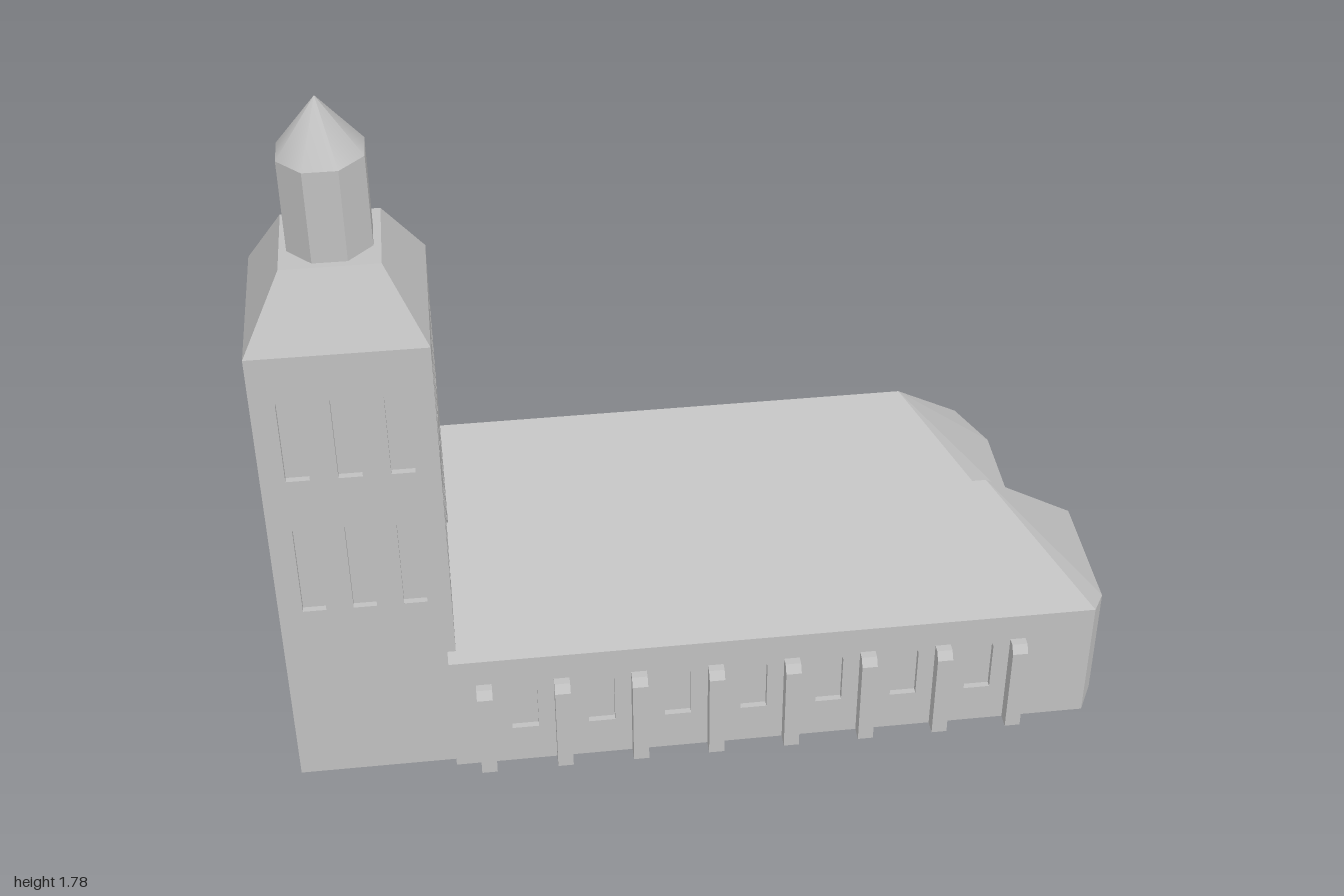
import * as THREE from 'three';

const stone = new THREE.MeshStandardMaterial({ color: 0xc0c0c0 });
stone.name = 'stone';
const RECESS = 0.015;

function add(parent, geometry, name, x = 0, y = 0, z = 0) {
  const mesh = new THREE.Mesh(geometry, stone);
  mesh.name = name;
  mesh.position.set(x, y, z);
  parent.add(mesh);
  return mesh;
}

function faceted(geometry) {
  const g = geometry.index ? geometry.toNonIndexed() : geometry;
  g.computeVertexNormals();
  return g;
}

// Flat faces from corner loops, counter-clockwise seen from outside
function surface(loops) {
  const pos = [];
  for (const p of loops)
    for (let i = 1; i < p.length - 1; i++) pos.push(...p[0], ...p[i], ...p[i + 1]);
  const g = new THREE.BufferGeometry();
  g.setAttribute('position', new THREE.Float32BufferAttribute(pos, 3));
  return faceted(g);
}

const outline = pts => pts.map(([x, y]) => new THREE.Vector2(x, y));

// Pointed opening: u = centre along the wall, y0..y1 = sill to point
function archPoints({ u, w, y0, y1, rise }) {
  const h = w / 2, s = y1 - rise;
  return outline([[u - h, y0], [u + h, y0], [u + h, s], [u + h * 0.55, s + rise * 0.55],
    [u, y1], [u - h * 0.55, s + rise * 0.55], [u - h, s]]);
}

// Wall from a to b ([x, z], left to right seen from outside); top = [u, y] from right to left
function wall(parent, name, a, b, top, windows = []) {
  const dx = b[0] - a[0], dz = b[1] - a[1], len = Math.hypot(dx, dz);
  const crest = typeof top === 'number' ? [[len, top], [0, top]] : top(len);
  const shape = new THREE.Shape(outline([[0, 0], [len, 0], ...crest]));
  const group = new THREE.Group();
  group.name = name;
  group.position.set(a[0], 0, a[1]);
  group.rotation.y = Math.atan2(-dz, dx);
  for (const w of windows) {
    const pts = archPoints(w);
    shape.holes.push(new THREE.Path(pts));
    add(group, new THREE.ShapeGeometry(new THREE.Shape(pts)), 'windowPane', 0, 0, -RECESS);
  }
  add(group, new THREE.ExtrudeGeometry(shape, { depth: RECESS, bevelEnabled: false }),
    'wallPanel', 0, 0, -RECESS);
  parent.add(group);
}

function buildTower() {
  const tower = new THREE.Group();
  tower.name = 'tower';
  const windows = [];
  for (const u of [0.083, 0.2, 0.317])
    for (const [y0, y1] of [[0.53, 0.84], [0.92, 1.2]])
      windows.push({ u, w: 0.054, y0, y1, rise: 0.065 });
  const door = { u: 0.2, w: 0.085, y0: 0.02, y1: 0.215, rise: 0.075 };
  const c = [[-1, 0.43], [-0.6, 0.43], [-0.6, 0.03], [-1, 0.03]];
  ['Front', 'Left', 'Back', 'Right'].forEach((side, i) =>
    wall(tower, 'tower' + side + 'Wall', c[i], c[(i + 1) % 4], 1.26,
      i === 3 ? [...windows, door] : windows));

  // Sloping roof, octagonal lantern and its cap
  const R2 = Math.SQRT2;
  const slope = new THREE.CylinderGeometry(0.11 * R2, 0.2 * R2, 0.165, 4).rotateY(Math.PI / 4);
  add(tower, faceted(slope), 'towerRoof', -0.8, 1.3425, 0.23);
  const r = 0.093 / Math.cos(Math.PI / 8);
  const lantern = new THREE.CylinderGeometry(r, r, 0.225, 8).rotateY(Math.PI / 8);
  add(tower, faceted(lantern), 'lantern', -0.8, 1.5375, 0.23);
  const cap = new THREE.ConeGeometry(r, 0.13, 8).rotateY(Math.PI / 8);
  add(tower, cap, 'lanternCap', -0.8, 1.715, 0.23);
  return tower;
}

function buildFrontNave() {
  const nave = new THREE.Group();
  nave.name = 'frontNave';
  const west = -0.62;
  const windows = [];
  for (let i = 0; i < 7; i++)
    windows.push({ u: -0.445 + i * 0.1875 - west, w: 0.065, y0: 0.11, y1: 0.305, rise: 0.058 });
  wall(nave, 'frontWall', [west, 0.45], [0.96, 0.45], 0.34, windows);
  wall(nave, 'cornerWall', [0.96, 0.45], [1, 0.375], l => [[l, 0.315], [0, 0.34]]);
  wall(nave, 'endWall', [1, 0.375], [1, 0.05], 0.315,
    [{ u: 0.138, w: 0.085, y0: 0.02, y1: 0.215, rise: 0.075 }]);
  wall(nave, 'backWall', [1, 0.05], [0.775, 0.05], l => [[l, 0.385], [0, 0.315]]);
  wall(nave, 'gable', [west, 0.05], [west, 0.45], l => [[l, 0.34], [0.185, 0.6], [0, 0.385]]);

  const rw = [west, 0.6, 0.235], re = [0.715, 0.6, 0.235];
  const corner = [0.775, 0.385, 0.05];
  add(nave, surface([
    [rw, [west, 0.34, 0.45], [0.96, 0.34, 0.45], re],
    [re, corner, [west, 0.385, 0.05], rw],
    [re, [0.96, 0.34, 0.45], [1, 0.315, 0.375], [1, 0.315, 0.05], corner],
  ]), 'frontNaveRoof');

  // Buttresses with a sloped outer top edge
  const profile = new THREE.Shape(outline([[0.44, 0], [0.485, 0], [0.485, 0.245], [0.47, 0.265], [0.44, 0.265]]));
  const buttress = new THREE.ExtrudeGeometry(profile, { depth: 0.038, bevelEnabled: false })
    .rotateY(-Math.PI / 2).translate(0.019, 0, 0);
  for (let i = 0; i < 8; i++) add(nave, buttress, 'buttress', -0.54 + i * 0.1875);
  return nave;
}

function buildBackNave() {
  const nave = new THREE.Group();
  nave.name = 'backNave';
  const west = -0.62, east = 0.775;
  const windows = [];
  for (let i = 0; i < 6; i++)
    windows.push({ u: east - 0.67 + i * 0.226, w: 0.06, y0: 0.215, y1: 0.345, rise: 0.05 });
  wall(nave, 'innerCornerWall', [east, 0.05], [0.86, -0.015], l => [[l, 0.315], [0, 0.385]]);
  wall(nave, 'endWall', [0.86, -0.015], [0.86, -0.265], 0.315,
    [{ u: 0.115, w: 0.085, y0: 0.02, y1: 0.215, rise: 0.075 }]);
  wall(nave, 'outerCornerWall', [0.86, -0.265], [east, -0.315], l => [[l, 0.385], [0, 0.315]]);
  wall(nave, 'backWall', [east, -0.315], [west, -0.315], 0.385, windows);
  wall(nave, 'gable', [west, -0.315], [west, 0.05], l => [[l, 0.385], [0.185, 0.61], [0, 0.385]]);

  const rw = [west, 0.61, -0.13], re = [0.57, 0.61, -0.13];
  const inner = [east, 0.385, 0.05], outer = [east, 0.385, -0.315];
  add(nave, surface([
    [rw, [west, 0.385, 0.05], inner, re],
    [re, outer, [west, 0.385, -0.315], rw],
    [re, inner, [0.86, 0.315, -0.015], [0.86, 0.315, -0.265], outer],
  ]), 'backNaveRoof');
  return nave;
}

export function createModel() {
  const church = new THREE.Group();
  church.name = 'church';
  church.add(buildTower(), buildFrontNave(), buildBackNave());

  // Low annex against the back wall
  add(church, new THREE.BoxGeometry(0.585, 0.178, 0.185), 'annex', 0.5525, 0.089, -0.3925);

  // Underside following the footprint
  const foot = new THREE.Shape(outline([[-1, 0.03], [-0.62, 0.03], [-0.62, -0.315], [0.775, -0.315],
    [0.86, -0.265], [0.86, -0.015], [0.775, 0.05], [1, 0.05], [1, 0.375], [0.96, 0.45],
    [-0.62, 0.45], [-0.62, 0.43], [-1, 0.43]]));
  add(church, new THREE.ShapeGeometry(foot).rotateX(Math.PI / 2), 'floor');
  return church;
}
